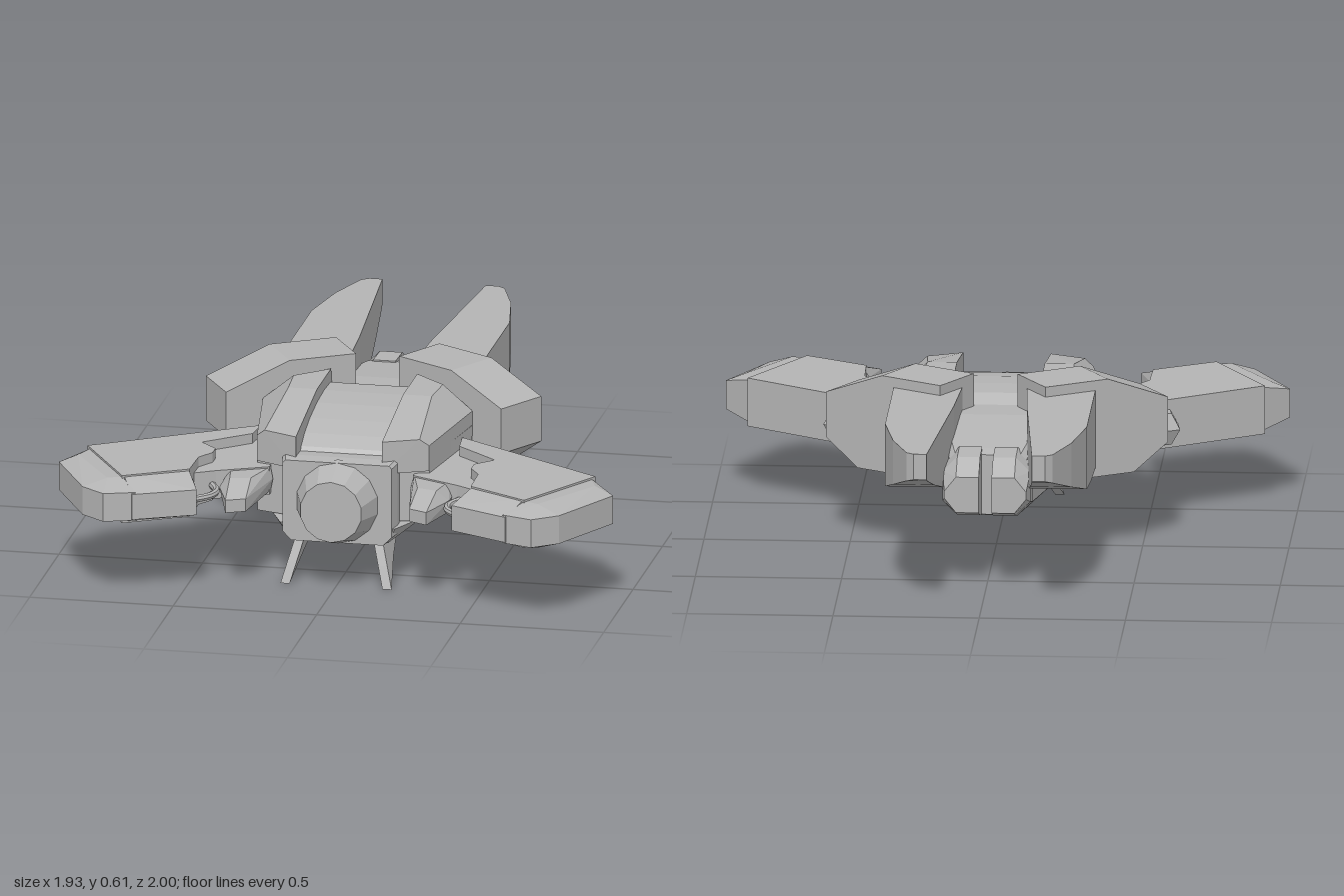
import * as THREE from 'three';
import { ConvexGeometry } from 'three/addons/geometries/ConvexGeometry.js';

const grey = new THREE.MeshStandardMaterial({ color: 0xb4b4b4 });
grey.name = 'hull grey';

const flat = (g) => {
  const out = g.index ? g.toNonIndexed() : g;
  out.computeVertexNormals();
  return out;
};

// Faceted solid around a few corner points
const hull = (pts) => new ConvexGeometry(pts.map((p) => new THREE.Vector3(...p)));

// Plan outline [x, z] repeated at given heights: layers of [y, outline]
const stack = (...layers) => hull(layers.flatMap(([y, plan]) => plan.map(([x, z]) => [x, y, z])));

// Sections along z: [z, halfWidth, yBottom, yTop, chamferBottom, chamferTop]
const lengthwise = (sections) => hull(sections.flatMap(([z, w, y0, y1, cb = 0, ct = 0]) =>
  [-1, 1].flatMap((s) => [
    [s * w, y0 + cb, z], [s * (w - cb), y0, z],
    [s * w, y1 - ct, z], [s * (w - ct), y1, z],
  ])));

const shapeOf = (pts) => new THREE.Shape(pts.map((p) => new THREE.Vector2(...p)));

// Horizontal slab from a plan outline that may be concave
function slab(plan, y0, y1) {
  const g = new THREE.ExtrudeGeometry(shapeOf(plan.map(([x, z]) => [x, -z])), { depth: y1 - y0, bevelEnabled: false });
  return flat(g.rotateX(-Math.PI / 2).translate(0, y0, 0));
}

// Mirror across x = 0, keeping faces outward
function mirrored(geometry) {
  const g = flat(geometry.clone()).scale(-1, 1, 1);
  const p = g.attributes.position;
  for (let i = 0; i < p.count; i += 3) {
    const b = [p.getX(i + 1), p.getY(i + 1), p.getZ(i + 1)];
    p.setXYZ(i + 1, p.getX(i + 2), p.getY(i + 2), p.getZ(i + 2));
    p.setXYZ(i + 2, ...b);
  }
  g.computeVertexNormals();
  return g;
}

export function createModel() {
  const model = new THREE.Group();
  model.name = 'spacecraft';
  const add = (name, geometry) => {
    const mesh = new THREE.Mesh(geometry, grey);
    mesh.name = name;
    model.add(mesh);
  };
  const pair = (name, geometry) => {
    add(name + 'Left', geometry);
    add(name + 'Right', mirrored(geometry));
  };

  // Curved canopy between the shoulder plates
  const canopy = shapeOf([[0.58, 0.24], [0.56, 0.42], [0.53, 0.455], [0.47, 0.485], [0.38, 0.51],
    [0.26, 0.528], [0.14, 0.535], [0.03, 0.53], [-0.05, 0.48], [-0.05, 0.24]]);
  const canopyGeo = new THREE.ExtrudeGeometry(canopy, { depth: 0.31, bevelEnabled: false });
  add('canopy', flat(canopyGeo.rotateY(-Math.PI / 2).translate(0.155, 0, 0)));

  // Nose block and tapered gun muzzle
  add('noseBlock', lengthwise([[0.2, 0.2, 0.16, 0.42, 0.03], [0.6, 0.2, 0.155, 0.445, 0.03, 0.01], [0.65, 0.19, 0.155, 0.44, 0.03, 0.01]]));
  const muzzle = new THREE.CylinderGeometry(0.108, 0.15, 0.13, 14);
  add('muzzle', flat(muzzle.rotateX(Math.PI / 2).translate(0, 0.297, 0.695)));

  // Belly keel
  add('belly', stack(
    [0.215, [[-0.2, 0.645], [0.2, 0.645], [0.265, 0.5], [0.265, 0.3], [0.2, 0.1], [0.08, -0.03],
      [-0.08, -0.03], [-0.2, 0.1], [-0.265, 0.3], [-0.265, 0.5]]],
    [0.155, [[-0.17, 0.62], [0.17, 0.62], [0.19, 0.35], [0.08, 0.09], [-0.08, 0.09], [-0.19, 0.35]]]));

  // Tail body with a split end
  add('tail', lengthwise([[0.05, 0.2, 0.215, 0.5], [-0.15, 0.17, 0.22, 0.5, 0.03],
    [-0.45, 0.14, 0.225, 0.46, 0.04, 0.02], [-0.5, 0.13, 0.24, 0.45, 0.04, 0.02]]));
  pair('tailNub', hull([-0.45, -0.57, -0.655].flatMap((z, i) => {
    const top = [0.465, 0.46, 0.41][i], bottom = [0.225, 0.255, 0.285][i], w = [0.15, 0.15, 0.14][i];
    return [[0.022, bottom, z], [0.1, bottom, z], [w, bottom + 0.05, z],
      [w, top - 0.05, z], [0.1, top, z], [0.022, top, z]];
  })));

  // Shoulder plates flanking the canopy
  pair('shoulderPlate', stack(
    [0.575, [[0.15, 0.02], [0.26, 0.12], [0.25, 0.26], [0.15, 0.26]]],
    [0.515, [[0.15, 0.62], [0.27, 0.565]]],
    [0.49, [[0.15, 0.0], [0.365, 0.13], [0.3, 0.55]]],
    [0.4, [[0.15, 0.0], [0.365, 0.13], [0.3, 0.55], [0.15, 0.62]]]));
  pair('bodySide', stack(
    [0.44, [[0.1, 0], [0.365, 0.14], [0.3, 0.54], [0.1, 0.6]]],
    [0.22, [[0.1, 0], [0.365, 0.14], [0.3, 0.54], [0.1, 0.6]]]));

  // Angled rear shoulder blocks: profile along s, swept across the block width
  const blockProfile = [[0, 0.615], [0.24, 0.615], [0.47, 0.525], [0.47, 0.365], [0.34, 0.275], [0, 0.275]];
  pair('rearShoulder', hull(blockProfile.flatMap(([s, y]) => [
    [0.075 + s * 0.86, y, -0.04 + s * 0.51],
    [0.18 + s * 0.86, y, -0.21 + s * 0.51],
  ])));

  // Long rear fins: [z, inner x, outer x, bottom y]
  const finSections = [[-0.08, 0.11, 0.345, 0.305], [-0.35, 0.125, 0.345, 0.325], [-0.6, 0.148, 0.345, 0.36],
    [-0.82, 0.165, 0.305, 0.425], [-0.98, 0.178, 0.25, 0.48], [-1, 0.18, 0.225, 0.49]];
  pair('rearFin', hull(finSections.flatMap(([z, a, b, y]) =>
    [[a, y, z], [b, y, z], [a, 0.58, z], [b, 0.58, z]])));

  // Arm root plate and the bar along its rear side
  pair('armRoot', slab([[0.26, 0.2], [0.4, 0.26], [0.54, 0.42], [0.52, 0.72], [0.42, 0.66], [0.25, 0.58]], 0.29, 0.39));
  pair('armBar', stack(
    [0.39, [[0.34, 0.19], [0.58, 0.32], [0.57, 0.38], [0.34, 0.34]]],
    [0.335, [[0.34, 0.16], [0.61, 0.31], [0.6, 0.38], [0.34, 0.36]]],
    [0.28, [[0.34, 0.19], [0.58, 0.32], [0.57, 0.38], [0.34, 0.34]]]));

  // Forearm pod with a notched inner edge, bevelled front and end cap
  pair('armPod', slab([[0.35, 0.23], [0.885, 0.575], [0.7, 0.89], [0.49, 0.77], [0.487, 0.63],
    [0.45, 0.57], [0.45, 0.52], [0.51, 0.46], [0.36, 0.33]], 0.255, 0.425));
  pair('armFront', hull([
    ...[0.255, 0.425].flatMap((y) => [[0.7, y, 0.87], [0.5, y, 0.75]]),
    ...[0.295, 0.385].flatMap((y) => [[0.65, y, 0.97], [0.444, y, 0.873], [0.48, y, 0.76]])]));
  pair('armCap', hull([
    ...[0.262, 0.418].flatMap((y) => [[0.87, y, 0.58], [0.9, y, 0.66], [0.75, y, 0.9], [0.7, y, 0.88]]),
    ...[0.29, 0.39].flatMap((y) => [[0.965, y, 0.67], [0.83, y, 0.93], [0.745, y, 0.995], [0.64, y, 0.96]])]));

  // Finger blades beside the nose
  pair('fingerBlade', stack(
    [0.385, [[0.25, 0.56], [0.29, 0.7], [0.36, 0.72], [0.38, 0.6]]],
    [0.345, [[0.24, 0.57], [0.285, 0.815], [0.35, 0.845], [0.4, 0.7], [0.4, 0.57]]],
    [0.3, [[0.25, 0.56], [0.285, 0.815], [0.35, 0.845], [0.39, 0.7], [0.38, 0.57]]]));

  // Thin hoops joining blades and pods
  const hoop = new THREE.CatmullRomCurve3([[0.43, 0.67], [0.405, 0.73], [0.415, 0.79], [0.46, 0.84]]
    .map(([x, z]) => new THREE.Vector3(x, 0.34, z)));
  pair('hoop', flat(new THREE.TubeGeometry(hoop, 12, 0.013, 8)));

  // Swept landing blades under the nose
  const blade = shapeOf([[0.67, 0.005], [0.645, 0.08], [0.61, 0.18], [0.26, 0.18], [0.33, 0.15], [0.43, 0.125], [0.53, 0.085]]);
  const bladeGeo = new THREE.ExtrudeGeometry(blade, { depth: 0.032, bevelEnabled: false }).rotateY(-Math.PI / 2);
  // Lean the lower tips outward
  const p = bladeGeo.attributes.position;
  for (let i = 0; i < p.count; i++) p.setX(i, p.getX(i) + 0.195 - p.getY(i) * 0.27);
  pair('landingBlade', flat(bladeGeo));

  return model;
}
